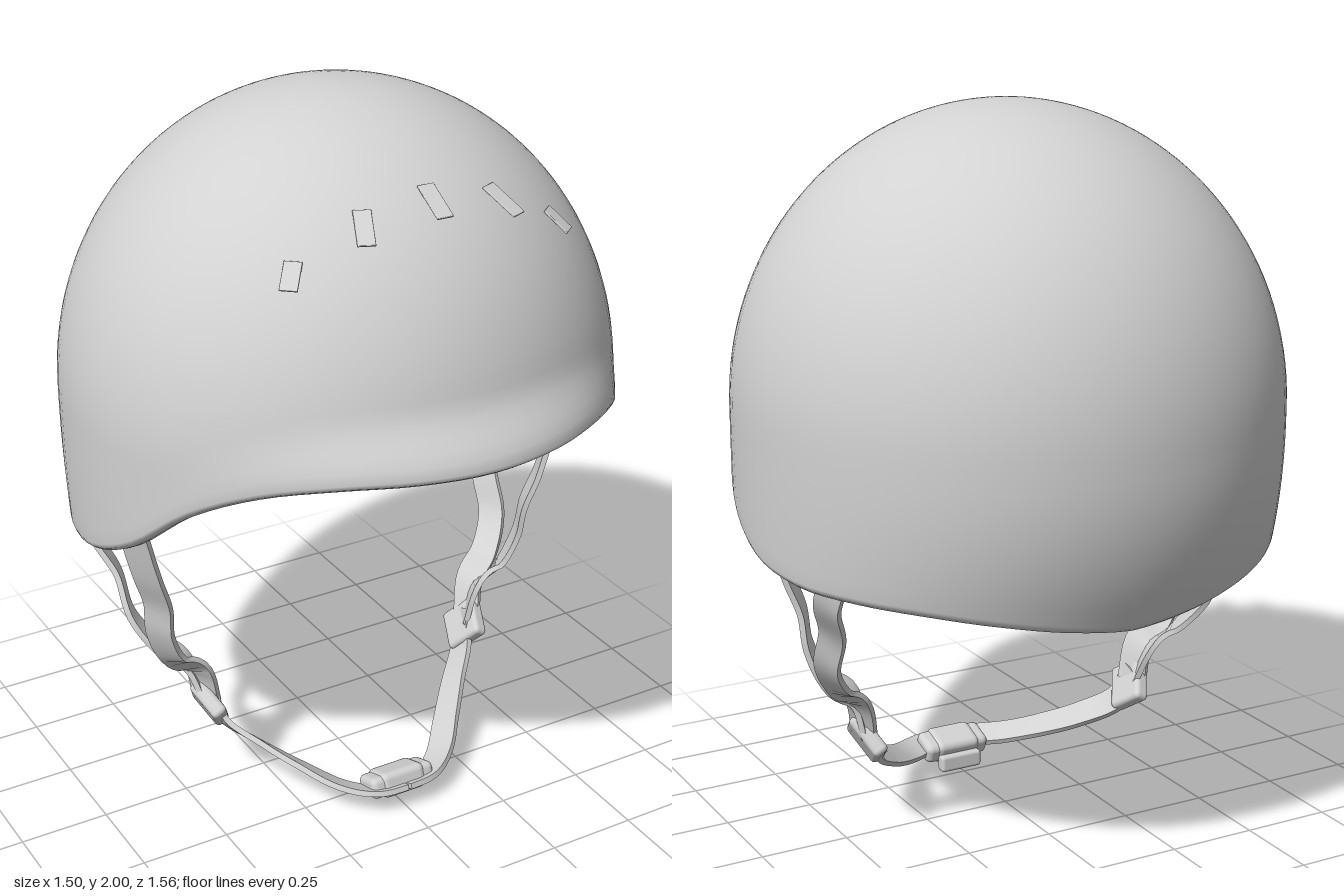
import * as THREE from 'three';
import { toCreasedNormals } from 'three/addons/utils/BufferGeometryUtils.js';
import { RoundedBoxGeometry } from 'three/addons/geometries/RoundedBoxGeometry.js';

const V = (x, y, z) => new THREE.Vector3(x, y, z);
const smooth = THREE.MathUtils.smoothstep;

// Surface through closed rings of points
function loft(rings) {
  const n = rings[0].length, pos = [], idx = [];
  rings.forEach(r => r.forEach(p => pos.push(p.x, p.y, p.z)));
  for (let i = 0; i < rings.length - 1; i++) {
    for (let j = 0; j < n; j++) {
      const k = (j + 1) % n, a = i * n, b = a + n;
      idx.push(a + j, b + j, b + k, a + j, b + k, a + k);
    }
  }
  const g = new THREE.BufferGeometry();
  g.setAttribute('position', new THREE.Float32BufferAttribute(pos, 3));
  g.setIndex(idx);
  g.computeVertexNormals();
  return g;
}

// Rim height every 15 degrees, from the front round to the back
const rimCurve = new THREE.SplineCurve(
  [1.22, 1.22, 1.21, 1.17, 1.08, 0.935, 0.845, 0.81, 0.803, 0.793, 0.77, 0.742, 0.722]
    .map((y, i) => new THREE.Vector2(i, y)));
const rimY = phi => rimCurve.getPoint(Math.min(phi, 2 * Math.PI - phi) / Math.PI).y;

// Horizontal radius of the dome: rounder at the back, shorter at the front
function baseRadius(phi, y) {
  const c = Math.cos(phi), s = Math.sin(phi);
  const low = Math.max(0, 1.15 - y);
  const rz = c > 0 ? 0.715 : 0.78 - 0.6 * low * low;
  const rx = 0.75 - 0.05 * low * low;
  return 1 / Math.hypot(s / rx, c / rz);
}
const dome = (y, h) => y > 1.2 ? Math.sqrt(Math.max(0, 1 - ((y - 1.2) / h) ** 2)) : 1;

// The brim flares out only around the brow
function outerRadius(phi, y) {
  const front = Math.max(0, Math.cos(phi)) ** 4;
  const flare = 0.068 * front * (1 - smooth(y - rimY(phi), 0.02, 0.17));
  return baseRadius(phi, y) * dome(y, 0.8) + flare;
}

// The padding thickens above the rim
function innerRadius(phi, y) {
  const pad = 0.09 + 0.07 * smooth(y - rimY(phi), 0.03, 0.28);
  return (baseRadius(phi, y) - pad) * dome(y, 0.67);
}

// Outer dome, rolled lip and inner dome in one skin
function shellGeometry() {
  const seg = 96, rows = 44, rings = [];
  const ring = f => rings.push(Array.from({ length: seg }, (_, j) => {
    const phi = j / seg * 2 * Math.PI, [r, y] = f(phi);
    return V(r * Math.sin(phi), y, r * Math.cos(phi));
  }));
  const edge = phi => rimY(phi) + 0.025;
  const height = (phi, top, i) =>
    edge(phi) + (top - edge(phi)) * Math.cos(i / rows * Math.PI / 2);
  for (let i = 0; i <= rows; i++) {
    ring(phi => {
      const y = height(phi, 2, i);
      return [i ? outerRadius(phi, y) : 0, y];
    });
  }
  for (let i = 1; i <= 6; i++) {
    const a = i / 6 * Math.PI;
    ring(phi => [outerRadius(phi, edge(phi)) - 0.035 * (1 - Math.cos(a)),
      edge(phi) - 0.025 * Math.sin(a)]);
  }
  for (let i = rows - 2; i >= 0; i--) {
    ring(phi => {
      const y = height(phi, 1.87, i);
      return [i ? innerRadius(phi, y) : 0, y];
    });
  }
  return loft(rings);
}

// Flat webbing swept along points; hint(p) gives the outward side
function strapGeometry(points, width, hint) {
  const curve = new THREE.CatmullRomCurve3(points), steps = 40, rings = [];
  for (let i = 0; i <= steps; i++) {
    const p = curve.getPoint(i / steps), t = curve.getTangent(i / steps);
    const w = t.clone().cross(hint(p)).normalize();
    const n = w.clone().cross(t).normalize();
    const ring = [[1, 1], [-1, 1], [-1, -1], [1, -1]].map(([a, b]) =>
      p.clone().addScaledVector(w, a * width / 2).addScaledVector(n, b * 0.008));
    const cap = ring.map(() => p.clone());
    if (i === 0) rings.push(cap);
    rings.push(ring);
    if (i === steps) rings.push(cap);
  }
  return toCreasedNormals(loft(rings), 0.7);
}

export function createModel() {
  const group = new THREE.Group();
  group.name = 'helmet';
  const grey = new THREE.MeshStandardMaterial({ color: 0xd2d2d2 });
  grey.name = 'plain grey';
  const add = (name, geometry, parent = group) => {
    const m = new THREE.Mesh(geometry, grey);
    m.name = name;
    parent.add(m);
    return m;
  };

  add('shell', shellGeometry());

  // Five small vent flaps across the brow, their upper ends sunk in the shell
  [[0, 0.42], [23, 0.46], [-23, 0.46], [41, 0.555], [-41, 0.555]].forEach(([deg, r]) => {
    const phi = THREE.MathUtils.degToRad(deg);
    const R = baseRadius(Math.abs(phi), 1.6);
    const y = 1.2 + 0.8 * Math.sqrt(1 - (r / R) ** 2);
    const outer = Math.abs(deg) > 30, len = outer ? 0.08 : 0.11, tilt = outer ? 0.7 : 0.53;
    const flap = add('ventFlap', new RoundedBoxGeometry(0.046, 0.006, len, 2, 0.002));
    const mid = r + len / 2 * Math.cos(tilt);
    flap.position.set(mid * Math.sin(phi), y + 0.006 - len / 2 * Math.sin(tilt),
      mid * Math.cos(phi));
    flap.rotation.set(tilt, phi, 0, 'YXZ');
  });

  // Harness, mirrored left and right
  for (const s of [1, -1]) {
    const side = new THREE.Group();
    side.name = s > 0 ? 'leftHarness' : 'rightHarness';
    group.add(side);
    const path = pts => pts.map(([x, y, z]) => V(s * x, y, z));

    add('frontStrap', strapGeometry(path([[0.675, 0.95, 0.085], [0.655, 0.88, 0.083],
      [0.64, 0.82, 0.08], [0.62, 0.75, 0.075], [0.59, 0.66, 0.06], [0.58, 0.56, 0.045],
      [0.535, 0.46, 0.03], [0.46, 0.4, 0.02], [0.43, 0.29, 0.01]]), 0.085,
    () => V(s, 0, 0.6)), side);
    add('rearStrap', strapGeometry(path([[0.64, 0.89, -0.285], [0.645, 0.83, -0.265],
      [0.645, 0.76, -0.23], [0.605, 0.66, -0.17], [0.595, 0.55, -0.11], [0.54, 0.46, -0.06],
      [0.47, 0.4, -0.03], [0.435, 0.29, 0.01]]), 0.08, () => V(s, 0, -0.6)), side);
    add('chinStrap', strapGeometry(path([[0.43, 0.32, 0], [0.4, 0.23, 0.04],
      [0.32, 0.165, 0.12], [0.24, 0.115, 0.21], [0.16, 0.075, 0.3], [0.08, 0.062, 0.355],
      [0, 0.062, 0.365]]), 0.08, p => V(p.x, p.y - 0.75, 0.25)), side);

    // Slider joining the three straps
    const slider = add('slider', new RoundedBoxGeometry(0.045, 0.13, 0.12, 2, 0.014), side);
    slider.position.set(s * 0.425, 0.275, 0.015);
    slider.rotation.set(0.65, 0, -s * 0.49, 'ZYX');

    // Anchor on the inner wall
    const anchor = add('anchor', new RoundedBoxGeometry(0.03, 0.09, 0.07, 2, 0.01), side);
    anchor.position.set(s * 0.56, 1.08, 0.03);
    anchor.rotation.z = s * 0.35;
  }

  // Chin buckle with its release clip
  const buckle = add('buckle', new RoundedBoxGeometry(0.2, 0.06, 0.09, 3, 0.018));
  buckle.position.set(0, 0.063, 0.33);
  buckle.rotation.x = -0.35;
  const core = add('buckleCore', new RoundedBoxGeometry(0.14, 0.072, 0.1, 3, 0.02));
  core.position.set(0, 0.063, 0.33);
  core.rotation.x = -0.35;
  const clip = add('buckleClip', new RoundedBoxGeometry(0.13, 0.05, 0.035, 2, 0.01));
  clip.position.set(0, 0.025, 0.28);

  return group;
}
